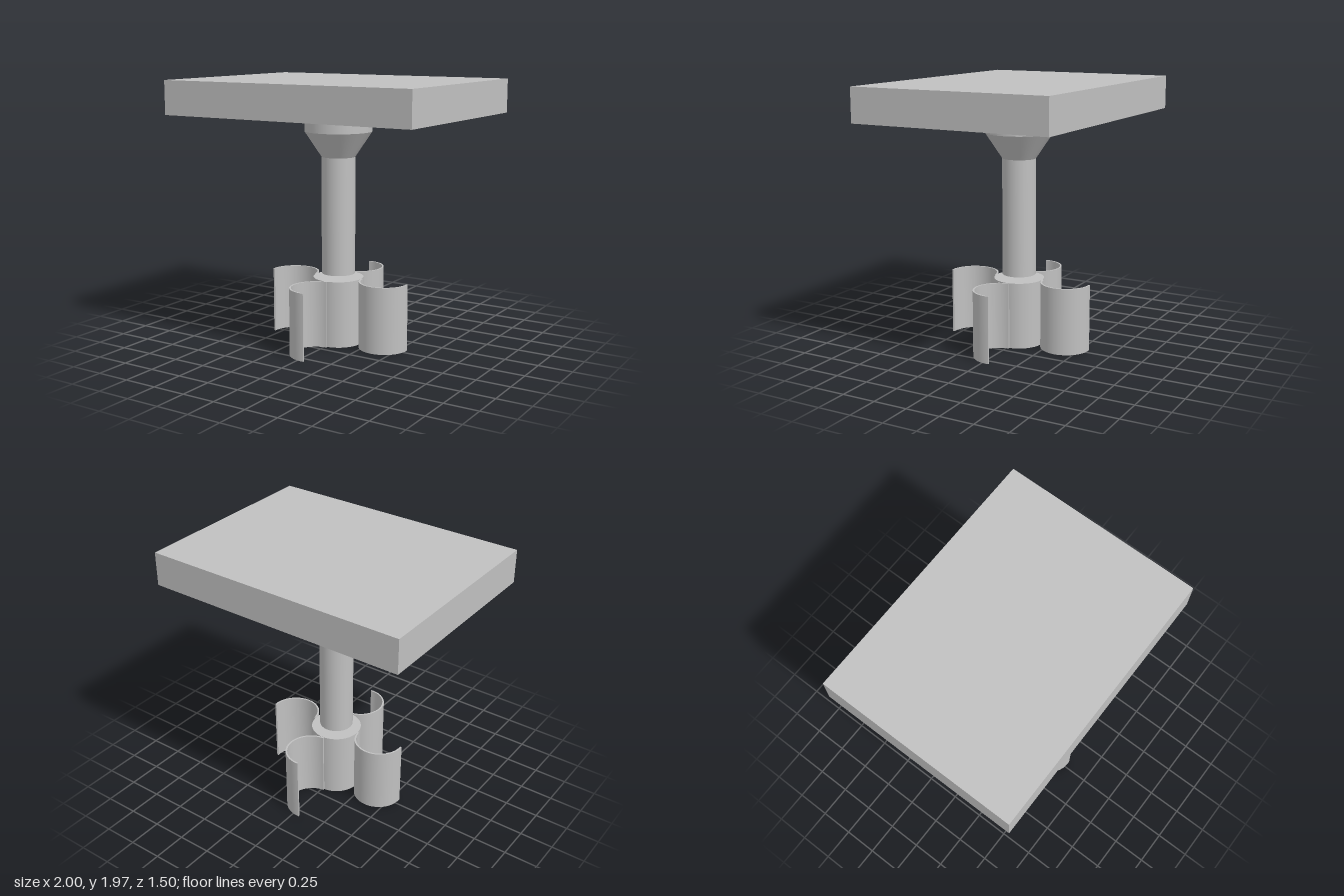
import * as THREE from 'three';
import { toCreasedNormals } from 'three/addons/utils/BufferGeometryUtils.js';

export function createModel() {
  const model = new THREE.Group();
  const grey = new THREE.MeshStandardMaterial({ color: 0xc0c0c0 });
  grey.name = 'light grey';

  const add = (name, geometry, y = 0) => {
    const mesh = new THREE.Mesh(geometry, grey);
    mesh.name = name;
    mesh.position.y = y;
    model.add(mesh);
    return mesh;
  };
  // Upright cylinder or cone between two heights
  const column = (name, rTop, rBottom, y0, y1) =>
    add(name, new THREE.CylinderGeometry(rTop, rBottom, y1 - y0, 48), (y0 + y1) / 2);

  // Rectangular slab on top
  add('topSlab', new THREE.BoxGeometry(2, 0.25, 1.5), 1.844);

  // Shaft widening into a collar under the slab
  column('collar', 0.25, 0.25, 1.594, 1.719);
  column('collarCone', 0.25, 0.125, 1.406, 1.594);
  column('shaft', 0.125, 0.125, 0.531, 1.406);

  // Rotor hub on a hair-thin axle
  column('axle', 0.003, 0.003, 0.49, 0.54);
  column('hub', 0.1875, 0.1875, 0, 0.5);

  // Four half-round scoop blades, chords running outward from the hub
  const section = new THREE.Shape();
  section.absarc(0.375, 0, 0.1875, Math.PI, 2 * Math.PI, false);
  section.absarc(0.375, 0, 0.175, 2 * Math.PI, Math.PI, true);
  section.closePath();
  const bladeGeometry = toCreasedNormals(
    new THREE.ExtrudeGeometry(section, { depth: 0.5, bevelEnabled: false, curveSegments: 28 })
      .rotateX(-Math.PI / 2),
    0.5
  );
  for (let i = 0; i < 4; i++) {
    add('blade' + (i + 1), bladeGeometry).rotation.y = 0.096 + (i * Math.PI) / 2;
  }

  return model;
}
